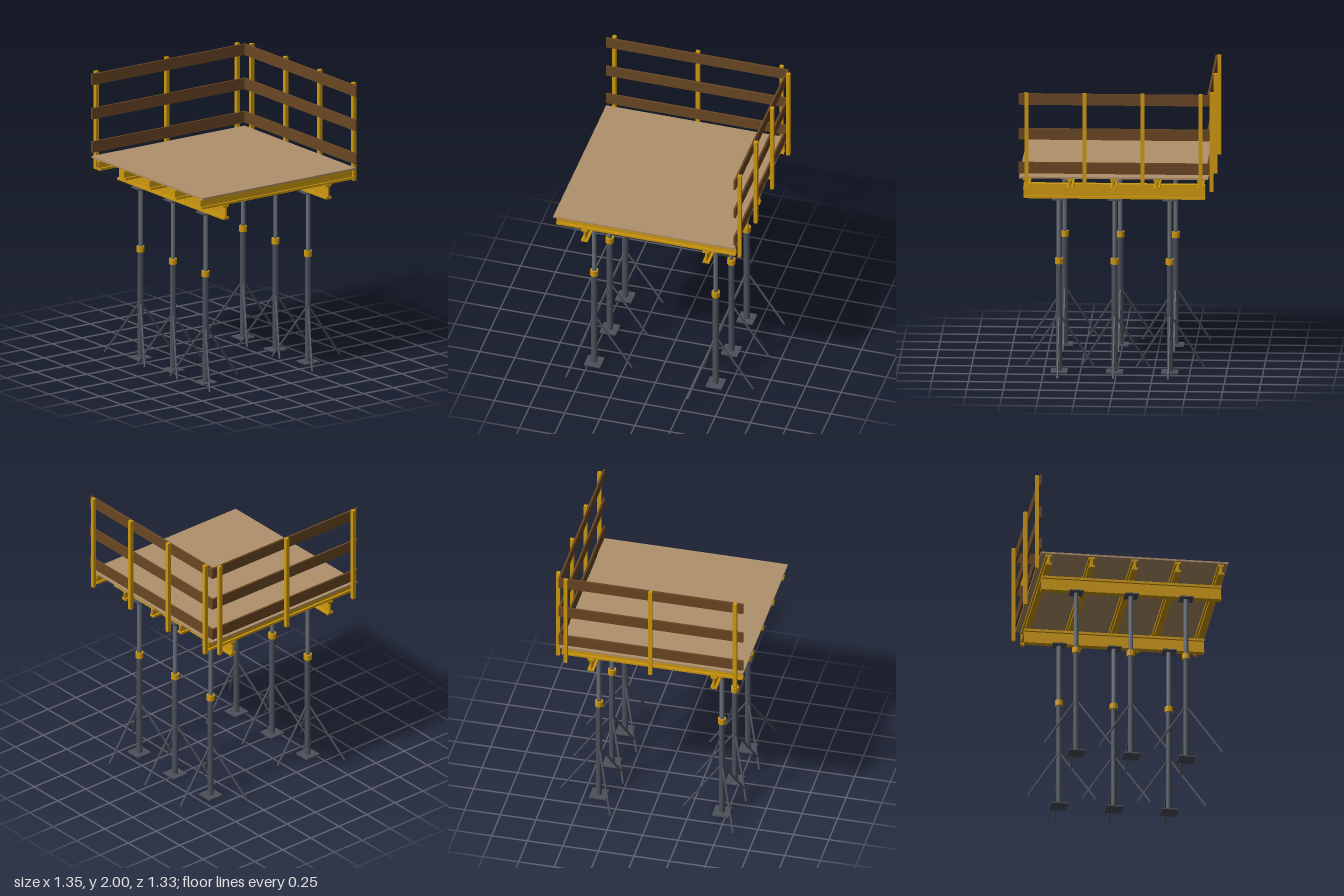
import * as THREE from 'three';

const mat = (name, color, flatShading = false) => {
  const m = new THREE.MeshStandardMaterial({ color, flatShading });
  m.name = name;
  return m;
};

export function createModel() {
  const yellow = mat('yellow paint', 0xcf990e, true);
  const plywood = mat('plywood', 0xb0906a);
  const timber = mat('dark timber', 0x6a4724);
  const steel = mat('dark steel', 0x4b505a, true);
  const innerSteel = mat('inner tube steel', 0x686e76, true);

  const model = new THREE.Group();
  model.name = 'shoringPlatform';

  const add = (parent, name, geometry, material, x = 0, y = 0, z = 0) => {
    const mesh = new THREE.Mesh(geometry, material);
    mesh.name = name;
    mesh.position.set(x, y, z);
    parent.add(mesh);
    return mesh;
  };

  // Box given by its lower and upper limits on each axis
  const span = (parent, name, material, [x0, x1], [y0, y1], [z0, z1]) =>
    add(parent, name, new THREE.BoxGeometry(x1 - x0, y1 - y0, z1 - z0), material,
      (x0 + x1) / 2, (y0 + y1) / 2, (z0 + z1) / 2);

  // I-beam extruded along z, centred on its length, standing on y = 0
  const iBeam = (width, height, flange, web, length) => {
    const w = width / 2, t = web / 2;
    const shape = new THREE.Shape([
      [-w, 0], [w, 0], [w, flange], [t, flange], [t, height - flange], [w, height - flange],
      [w, height], [-w, height], [-w, height - flange], [-t, height - flange], [-t, flange], [-w, flange],
    ].map(([x, y]) => new THREE.Vector2(x, y)));
    return new THREE.ExtrudeGeometry(shape, { depth: length, bevelEnabled: false })
      .translate(0, 0, -length / 2);
  };

  // Deck panel
  span(model, 'deck', plywood, [-0.68, 0.61], [1.395, 1.408], [-0.635, 0.66]);

  // Joists running across under the deck
  const joist = iBeam(0.042, 0.077, 0.016, 0.014, 1.275).rotateY(Math.PI / 2);
  for (let i = 0; i < 5; i++) add(model, 'joist', joist, yellow, -0.03, 1.318, 0.61 - i * 0.297);

  // Main beams carried by the props
  const propX = [-0.465, 0.4], propZ = [0.395, 0.015, -0.363];
  const beam = iBeam(0.046, 0.103, 0.016, 0.014, 1.242);
  for (const x of propX) add(model, 'mainBeam', beam, yellow, x, 1.215, 0.016);

  // Guard rails along the back and the left side
  for (const y of [1.432, 1.669, 1.912]) {
    span(model, 'backRail', timber, [-0.68, 0.618], [y, y + 0.079], [-0.642, -0.628]);
    span(model, 'sideRail', timber, [0.605, 0.618], [y, y + 0.079], [-0.64, 0.662]);
  }
  const post = new THREE.BoxGeometry(0.026, 0.696, 0.026);
  for (const x of [-0.627, -0.032, 0.563]) add(model, 'backPost', post, yellow, x, 1.652, -0.655);
  for (const z of [-0.584, -0.187, 0.21, 0.607]) add(model, 'sidePost', post, yellow, 0.632, 1.652, z);

  // Tripod leg running from the outer tube down to the ground
  const legTop = new THREE.Vector3(0.008, 0.395, 0), legFoot = new THREE.Vector3(0.268, 0.012, 0);
  const leg = new THREE.TubeGeometry(new THREE.LineCurve3(legTop, legFoot), 1, 0.0075, 6, false);
  const legMaterial = steel.clone();
  legMaterial.side = THREE.DoubleSide;

  // Adjustable props
  const basePlate = new THREE.BoxGeometry(0.116, 0.01, 0.116);
  const headPlate = new THREE.BoxGeometry(0.096, 0.008, 0.096);
  const outerTube = new THREE.CylinderGeometry(0.021, 0.021, 0.76, 10);
  const innerTube = new THREE.CylinderGeometry(0.016, 0.016, 0.45, 10);
  const collar = new THREE.CylinderGeometry(0.029, 0.029, 0.04, 10);
  for (const x of propX) {
    for (const z of propZ) {
      const prop = new THREE.Group();
      prop.name = 'prop';
      prop.position.set(x, 0, z);
      add(prop, 'basePlate', basePlate, steel, 0, 0.005, 0);
      add(prop, 'outerTube', outerTube, steel, 0, 0.39, 0);
      add(prop, 'collar', collar, yellow, 0, 0.776, 0);
      add(prop, 'innerTube', innerTube, innerSteel, 0, 0.985, 0);
      add(prop, 'headPlate', headPlate, steel, 0, 1.211, 0);
      for (let i = 0; i < 3; i++) {
        add(prop, 'tripodLeg', leg, legMaterial).rotation.y = i * Math.PI * 2 / 3;
      }
      model.add(prop);
    }
  }
  return model;
}
